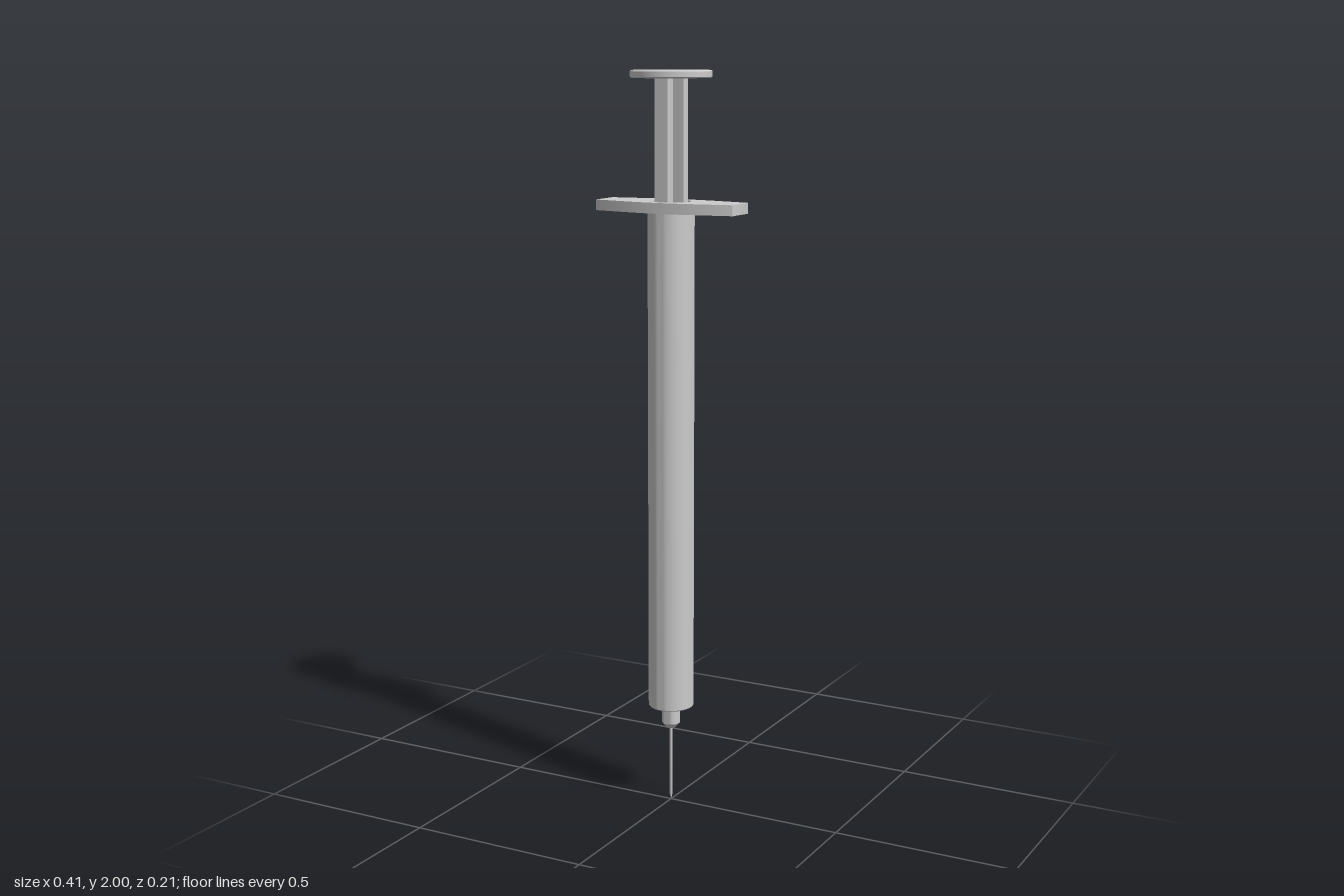
import * as THREE from 'three';
import { toCreasedNormals } from 'three/addons/utils/BufferGeometryUtils.js';

export function createModel() {
  const model = new THREE.Group();
  const material = new THREE.MeshStandardMaterial({ color: 0xcccccc });

  const add = (name, geometry, y = 0) => {
    const mesh = new THREE.Mesh(toCreasedNormals(geometry, 0.6), material);
    mesh.name = name;
    mesh.position.y = y;
    model.add(mesh);
    return mesh;
  };
  const lathe = (points, segments = 48) =>
    new THREE.LatheGeometry(points.map(([r, y]) => new THREE.Vector2(r, y)), segments);

  // Hollow barrel with a recessed collar underneath
  add('barrel', lathe([
    [0, 0.34], [0.049, 0.34], [0.049, 0.28], [0.052, 0.277], [0.059, 0.277], [0.062, 0.28],
    [0.062, 1.64], [0.052, 1.64], [0.052, 0.37], [0, 0.37],
  ]));

  // Nozzle with a chamfered tip
  add('nozzle', lathe([
    [0, 0.212], [0.012, 0.212], [0.025, 0.227], [0.025, 0.345], [0, 0.345],
  ], 32));

  // Thin needle, cut to a point
  add('needle', lathe([[0, 0], [0.004, 0.015], [0.004, 0.22]], 12));

  // Finger flange: widest in the middle, tapering to both ends, with a round bore
  const outline = new THREE.Shape();
  outline.moveTo(-0.2, -0.046);
  outline.lineTo(-0.085, -0.066);
  outline.quadraticCurveTo(0, -0.078, 0.085, -0.066);
  outline.lineTo(0.2, -0.046);
  outline.quadraticCurveTo(0.203, -0.046, 0.203, -0.042);
  outline.lineTo(0.203, 0.042);
  outline.quadraticCurveTo(0.203, 0.046, 0.2, 0.046);
  outline.lineTo(0.085, 0.066);
  outline.quadraticCurveTo(0, 0.078, -0.085, 0.066);
  outline.lineTo(-0.2, 0.046);
  outline.quadraticCurveTo(-0.203, 0.046, -0.203, 0.042);
  outline.lineTo(-0.203, -0.042);
  outline.quadraticCurveTo(-0.203, -0.046, -0.2, -0.046);
  outline.holes.push(new THREE.Path().absarc(0, 0, 0.052, 0, Math.PI * 2, true));
  const flange = new THREE.ExtrudeGeometry(outline, { depth: 0.028, bevelEnabled: false, curveSegments: 24 });
  flange.rotateX(-Math.PI / 2);
  add('fingerFlange', flange, 1.635);

  // Plunger rod with a cross-shaped section
  const w = 0.043, t = 0.012;
  const corners = [];
  for (let i = 0; i < 4; i++) {
    const turn = new THREE.Vector2();
    for (const [x, y] of [[w, -t], [w, t], [t, t]]) {
      corners.push(new THREE.Vector2(x, y).rotateAround(turn, i * Math.PI / 2));
    }
  }
  const rod = new THREE.ExtrudeGeometry(new THREE.Shape(corners), { depth: 1.54, bevelEnabled: false });
  rod.rotateX(-Math.PI / 2);
  add('plungerRod', rod, 0.445);

  // Stopper sealing the barrel
  add('stopper', lathe([
    [0, 0.38], [0.046, 0.395], [0.051, 0.4], [0.051, 0.44], [0.046, 0.45], [0, 0.45],
  ], 32));

  // Thumb rest
  add('thumbRest', lathe([
    [0, 1.98], [0.104, 1.98], [0.107, 1.983], [0.107, 1.997], [0.104, 2], [0, 2],
  ], 64));

  return model;
}
